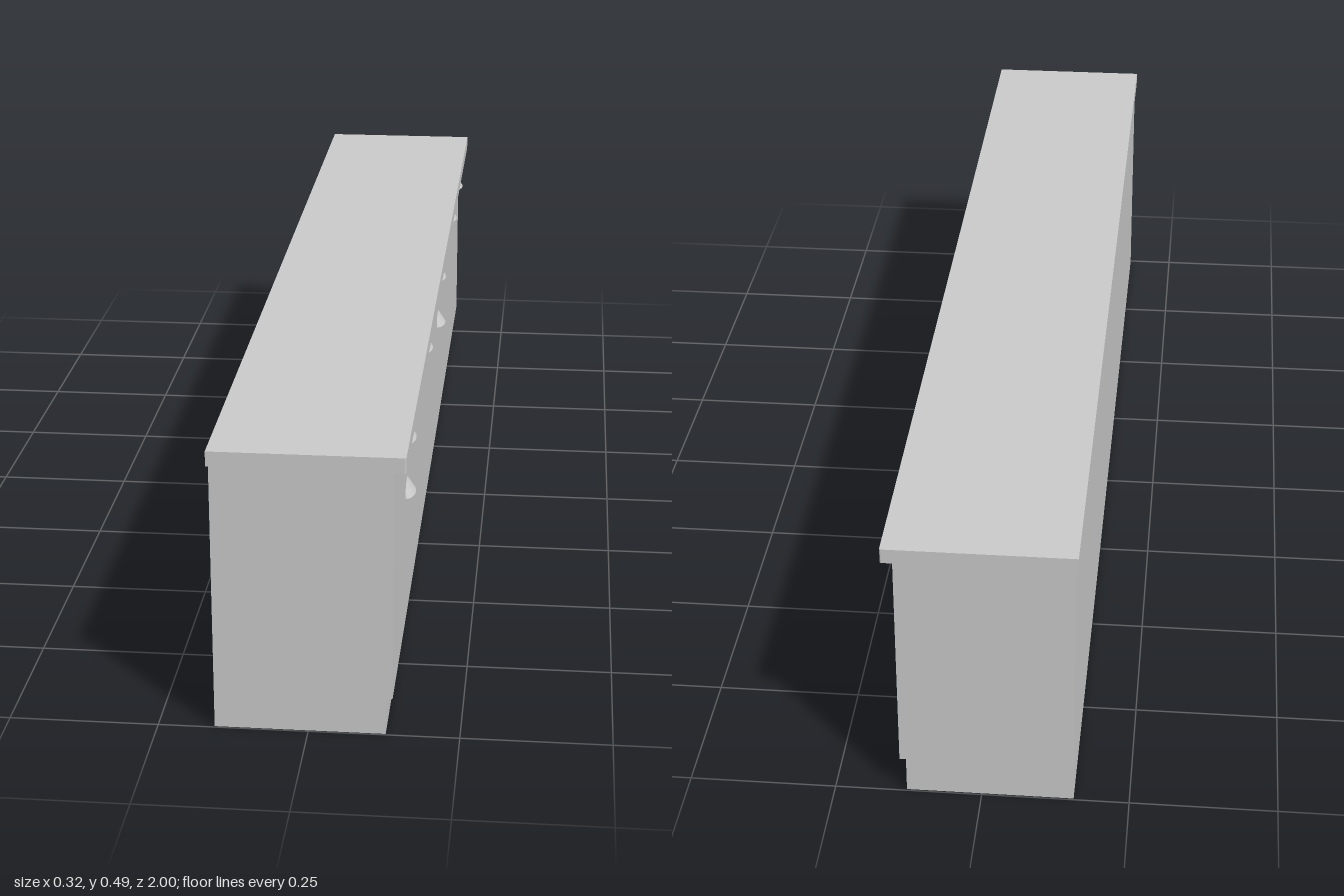
import * as THREE from 'three';

const grey = new THREE.MeshStandardMaterial({ color: 0xcccccc });
const sheet = new THREE.MeshStandardMaterial({ color: 0xcccccc, side: THREE.DoubleSide });

const HALF = 0.997; // half length of the carcass
const FRONT = 0.139, KICK = 0.128, BACK = -0.156, TOP = 0.467, KICK_Y = 0.065;

function add(parent, name, geometry, material) {
  const mesh = new THREE.Mesh(geometry, material);
  mesh.name = name;
  parent.add(mesh);
  return mesh;
}

// Thin-walled cabinet, open underneath, with a recessed kickboard
function createCarcass() {
  const group = new THREE.Group();
  group.name = 'carcass';
  const profile = [[KICK, 0], [KICK, KICK_Y], [FRONT, KICK_Y], [FRONT, TOP], [BACK, TOP], [BACK, 0]];
  const names = ['kickboard', 'kickLedge', 'frontPanel', 'topPanel', 'backPanel'];
  names.forEach((name, i) => {
    const [x0, y0] = profile[i], [x1, y1] = profile[i + 1];
    const g = new THREE.PlaneGeometry(2 * HALF, Math.hypot(x1 - x0, y1 - y0));
    g.rotateY(Math.PI / 2); // faces +x, width along z
    g.rotateZ(Math.atan2(y1 - y0, x1 - x0) - Math.PI / 2);
    g.translate((x0 + x1) / 2, (y0 + y1) / 2, 0);
    add(group, name, g, sheet);
  });
  const side = new THREE.Shape(profile.map(([x, y]) => new THREE.Vector2(x, y)));
  for (const s of [1, -1]) {
    const end = new THREE.ShapeGeometry(side);
    if (s < 0) end.scale(-1, 1, 1).rotateY(Math.PI), end.index.array.reverse(), end.computeVertexNormals();
    add(group, s > 0 ? 'frontEndPanel' : 'backEndPanel', end.translate(0, 0, s * HALF), sheet);
  }
  return group;
}

// Worktop slab with slightly rounded corners along the drawer side
function createWorktop() {
  const x0 = -0.16, x1 = 0.159, r = 0.003;
  const s = new THREE.Shape();
  s.moveTo(x0, -1);
  s.lineTo(x1 - r, -1);
  s.quadraticCurveTo(x1, -1, x1, -1 + r);
  s.lineTo(x1, 1 - r);
  s.quadraticCurveTo(x1, 1, x1 - r, 1);
  s.lineTo(x0, 1);
  const g = new THREE.ExtrudeGeometry(s, { depth: 0.026, bevelEnabled: false, curveSegments: 4 });
  return g.rotateX(-Math.PI / 2).translate(0, TOP, 0);
}

// Cup pull: sloped surface from an arc on the panel to an arc at its flat base
function createPullGeometry() {
  const n = 16, w = 0.035, h = 0.024, d = 0.016;
  const positions = [], index = [];
  for (let i = 0; i <= n; i++) {
    const a = (i / n) * Math.PI, z = w * Math.cos(a), k = Math.sin(a);
    positions.push(0, h * k, z, d * k, 0, z); // panel arc, base arc
  }
  for (let i = 0; i < n; i++) {
    const a = 2 * i;
    index.push(a, a + 1, a + 2, a + 1, a + 3, a + 2);
  }
  const g = new THREE.BufferGeometry();
  g.setAttribute('position', new THREE.Float32BufferAttribute(positions, 3));
  g.setIndex(index);
  g.computeVertexNormals();
  return g;
}

// Half-ellipse closing the underside of a pull
function createPullBase() {
  const s = new THREE.Shape();
  s.absellipse(0, 0, 0.035, 0.016, 0, Math.PI, false, 0);
  return new THREE.ShapeGeometry(s, 8).rotateX(Math.PI / 2).rotateY(Math.PI / 2);
}

export function createModel() {
  const model = new THREE.Group();
  model.name = 'sideboard';
  model.add(createCarcass());
  add(model, 'worktop', createWorktop(), grey);

  // Pulls: [z, y of base]
  const cup = createPullGeometry(), base = createPullBase();
  const places = [[0.7, 0.407], [0.25, 0.407], [-0.185, 0.407], [-0.61, 0.407], [-0.872, 0.407],
    [0.7, 0.307], [-0.185, 0.307]];
  for (const [z, y] of places) {
    const pull = new THREE.Group();
    pull.name = 'cupPull';
    add(pull, 'pullCup', cup, sheet);
    add(pull, 'pullBase', base, sheet);
    pull.position.set(FRONT, y, z);
    model.add(pull);
  }
  return model;
}
